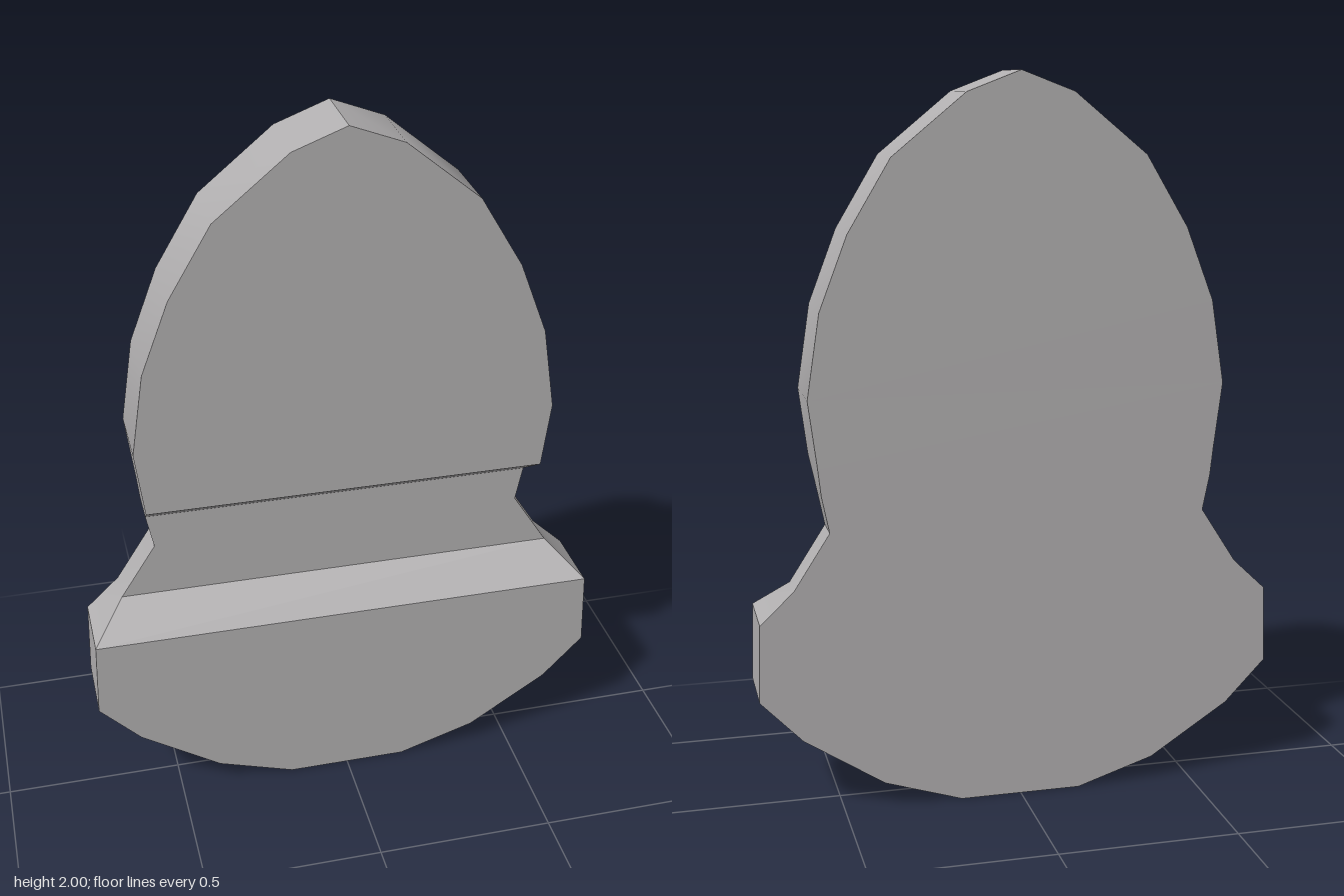
import * as THREE from 'three';
import { toCreasedNormals } from 'three/addons/utils/BufferGeometryUtils.js';

const BACK = -0.103;
const FRONT = 0.103;
const FLOOR = -0.005; // depth of the groove across the front

// Cross-sections from bottom to tip: [height, half width, front z]
const ROWS = [
  [0, 0.17, FRONT], [0.07, 0.387, FRONT], [0.215, 0.61, FRONT], [0.335, 0.725, FRONT],
  [0.552, 0.718, FRONT], [0.64, 0.625, FLOOR], [0.795, 0.525, FLOOR], [0.895, 0.545, FLOOR],
  [0.97, 0.553, FRONT], [1.155, 0.576, FRONT], [1.385, 0.54, FRONT], [1.585, 0.463, FRONT],
  [1.78, 0.346, FRONT], [1.945, 0.145, FRONT], [2, 0, FRONT],
];

function bodyGeometry() {
  const positions = [];
  const triangle = (a, b, c) => {
    if (a.equals(b) || b.equals(c) || a.equals(c)) return; // collapsed at the tip
    for (const p of [a, b, c]) positions.push(p.x, p.y, p.z);
  };
  const quad = (a, b, c, d) => { triangle(a, b, c); triangle(a, c, d); };

  const rings = ROWS.map(([y, w, z]) => [
    new THREE.Vector3(-w, y, z), new THREE.Vector3(w, y, z),
    new THREE.Vector3(w, y, BACK), new THREE.Vector3(-w, y, BACK),
  ]);

  // Front, left, back and right walls between neighbouring sections
  for (let i = 0; i < rings.length - 1; i++) {
    const low = rings[i], high = rings[i + 1];
    for (let k = 0; k < 4; k++) {
      const n = (k + 1) % 4;
      quad(low[k], low[n], high[n], high[k]);
    }
  }
  // Flat underside
  const [a, b, c, d] = rings[0];
  quad(d, c, b, a);

  const geometry = new THREE.BufferGeometry();
  geometry.setAttribute('position', new THREE.Float32BufferAttribute(positions, 3));
  // Smooth along the curved rim, sharp at the faces, groove and corners
  return toCreasedNormals(geometry, THREE.MathUtils.degToRad(30));
}

export function createModel() {
  const stone = new THREE.MeshStandardMaterial({ color: 0xb2b0b1 });
  stone.name = 'stone grey';

  const body = new THREE.Mesh(bodyGeometry(), stone);
  body.name = 'groovedBody';

  const model = new THREE.Group();
  model.name = 'groovedStone';
  model.add(body);
  return model;
}
